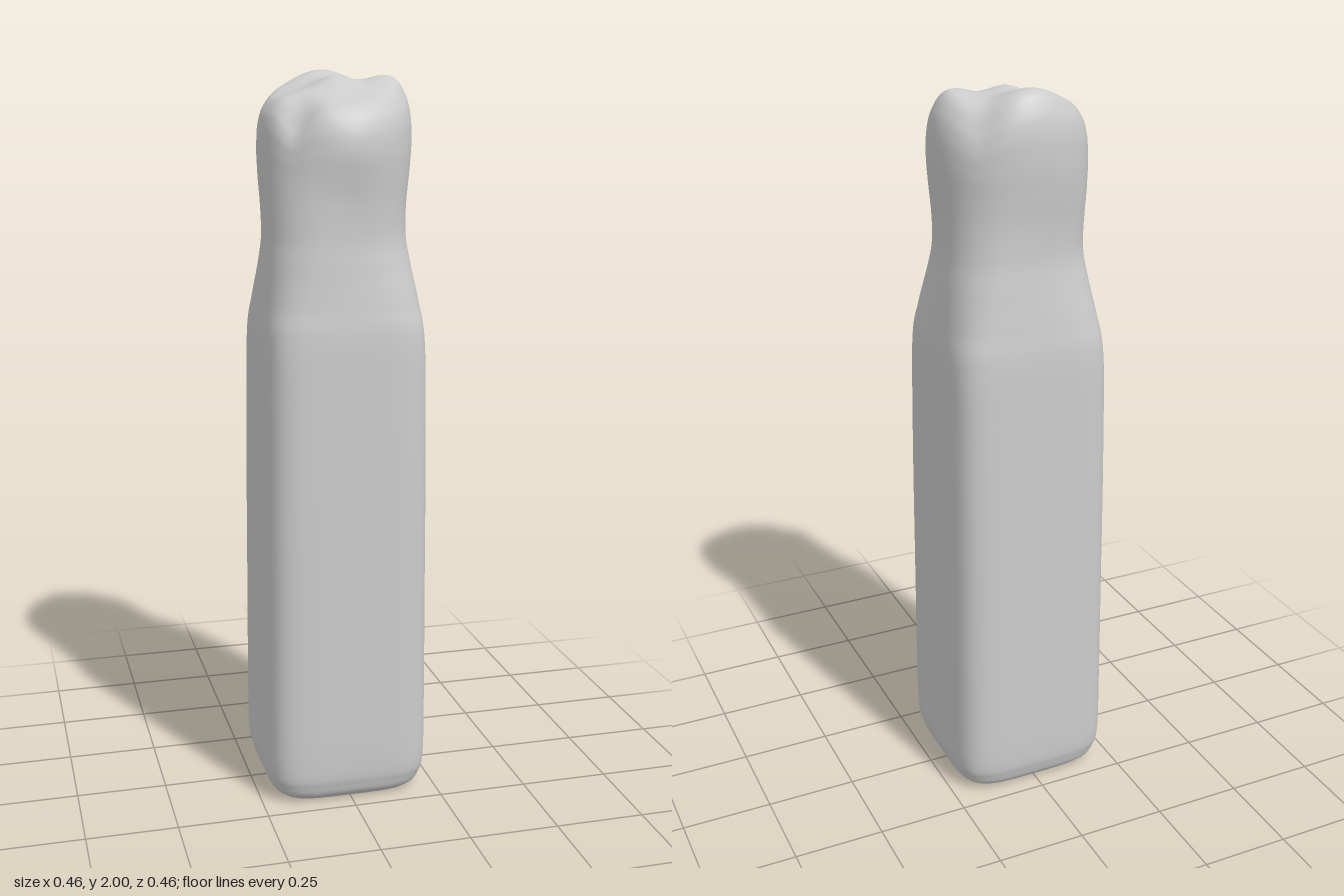
import * as THREE from 'three';

const bell = (d, w) => Math.exp(-(d * d) / (w * w));

// Height of the lumpy crown above each spot
function crownHeight(x, z) {
  return 1.955
    + 0.05 * bell(Math.hypot(x, (z + 0.15) * 1.2), 0.11)          // back knuckle
    + 0.035 * bell(Math.hypot(x - 0.15, z - 0.01), 0.08)          // left knuckle
    + 0.03 * bell(Math.hypot(x, z - 0.01), 0.06)                  // middle ridge
    - 0.03 * bell(Math.hypot(x * 0.5, z - 0.17), 0.09)            // low front lobe
    - 0.02 * bell(Math.hypot(x + 0.17, z), 0.08)
    - 0.06 * bell(Math.hypot(x + 0.14, z - 0.14), 0.05)           // front notch
    - 0.03 * bell(Math.hypot(x - 0.14, z + 0.15), 0.05);          // back notch
}

function createBody() {
  // Half width, height, squareness of the section
  const sections = new THREE.CatmullRomCurve3([
    [0.001, 0.005, 4.5], [0.09, 0.004, 4.5], [0.165, 0.005, 4.5], [0.2, 0.016, 4.8],
    [0.22, 0.05, 5.2], [0.229, 0.12, 5.5], [0.229, 0.3, 5.5], [0.227, 0.6, 5.5],
    [0.225, 0.9, 5.5], [0.222, 1.15, 5.5], [0.22, 1.3, 5], [0.211, 1.4, 4],
    [0.2, 1.5, 3.2], [0.193, 1.58, 2.8], [0.194, 1.66, 2.6], [0.2, 1.75, 2.35],
    [0.204, 1.84, 2.2], [0.201, 1.91, 2.15], [0.188, 1.96, 2.1], [0.165, 1.99, 2.1],
    [0.125, 2, 2.1], [0.06, 2, 2.1], [0.001, 2, 2.1],
  ].map((p) => new THREE.Vector3(...p)));

  const around = 96, along = 176;
  const geometry = new THREE.CylinderGeometry(1, 1, 1, around, along, true);
  const pos = geometry.attributes.position;
  const s = new THREE.Vector3();
  for (let j = 0; j <= along; j++) {
    sections.getPoint(1 - j / along, s);
    const y = s.y;
    for (let i = 0; i <= around; i++) {
      const a = ((i % around) / around) * Math.PI * 2;
      const sx = Math.sin(a), cz = Math.cos(a);
      // Rounded-square section, with uneven corners at the neck
      let r = s.x / Math.pow(Math.abs(sx) ** s.z + Math.abs(cz) ** s.z, 1 / s.z);
      r *= 1 - 0.045 * Math.sin(2 * a) * bell(y - 1.57, 0.13);
      let x = r * sx, z = r * cz;
      // Thumb-like swelling at the front and slight lean of the neck
      const rim = s.x / 0.2;
      if (cz > 0) z += 0.012 * rim * bell(y - 1.84, 0.13) * bell(x, 0.1);
      z += 0.005 * rim * bell(y - 1.62, 0.15);
      x -= 0.005 * rim * bell(y - 1.65, 0.15);
      // Fit the upper part under the crown
      const t = THREE.MathUtils.smoothstep(y, 1.65, 2);
      pos.setXYZ(j * (around + 1) + i, x, y + t * (crownHeight(x, z) - 2), z);
    }
  }
  geometry.computeVertexNormals();
  // Join the shading across the seam
  const n = geometry.attributes.normal;
  const a = new THREE.Vector3(), b = new THREE.Vector3();
  for (let j = 0; j <= along; j++) {
    const first = j * (around + 1), last = first + around;
    a.fromBufferAttribute(n, first).add(b.fromBufferAttribute(n, last)).normalize();
    n.setXYZ(first, a.x, a.y, a.z);
    n.setXYZ(last, a.x, a.y, a.z);
  }
  return geometry;
}

export function createModel() {
  const group = new THREE.Group();
  group.name = 'lumpyPost';
  const body = new THREE.Mesh(
    createBody(),
    new THREE.MeshStandardMaterial({ color: 0xcccccc, side: THREE.DoubleSide }),
  );
  body.name = 'body';
  group.add(body);
  return group;
}
